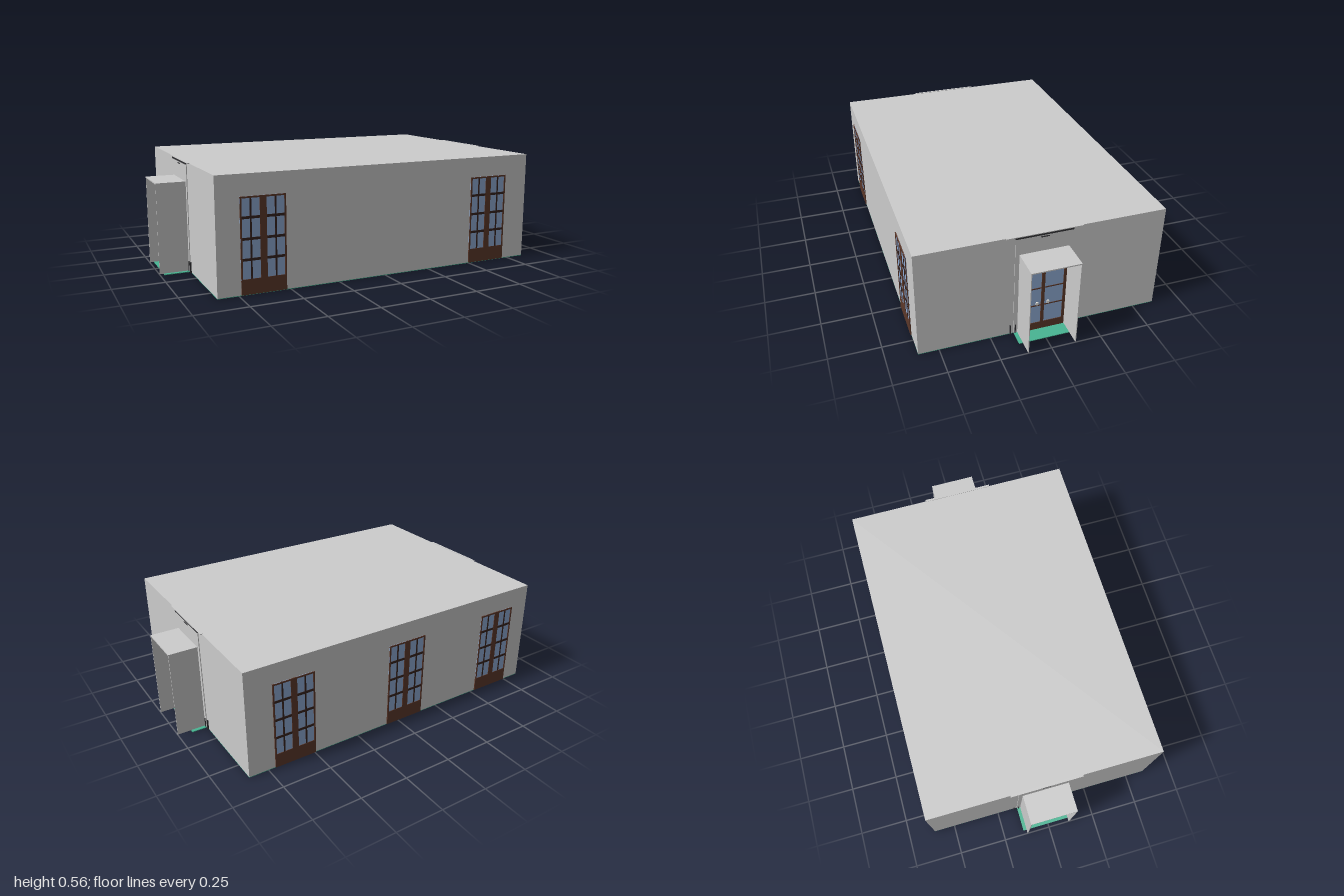
import * as THREE from 'three';

const mat = (name, color) => {
  const m = new THREE.MeshStandardMaterial({ color });
  m.name = name;
  return m;
};

export function createModel() {
  const wall = mat('wall grey', 0xcccccc);
  const wood = mat('brown wood', 0x5c382a);
  const bars = mat('dark bars', 0x35221e);
  const glass = mat('blue glass', 0x8fabd4);
  const green = mat('green floor', 0x48b593);
  const black = mat('dark metal', 0x333336);
  const white = mat('white handle', 0xe4e4e0);

  // Box given by its lower and upper corners
  const box = (parent, name, m, x0, x1, y0, y1, z0, z1) => {
    const mesh = new THREE.Mesh(new THREE.BoxGeometry(x1 - x0, y1 - y0, z1 - z0), m);
    mesh.position.set((x0 + x1) / 2, (y0 + y1) / 2, (z0 + z1) / 2);
    mesh.name = name;
    parent.add(mesh);
    return mesh;
  };

  const model = new THREE.Group();
  model.name = 'hall';

  // Main block on its floor slab
  box(model, 'walls and roof', wall, -0.85, 0.85, 0.003, 0.553, -0.61, 0.6);
  box(model, 'floor', green, -0.85, 0.85, 0, 0.003, -0.61, 0.6);

  // Tall double window, centred on x and facing +z
  const makeWindow = () => {
    const g = new THREE.Group();
    g.name = 'window';
    const w = 0.109, top = 0.452;
    box(g, 'glass', glass, -w, w, 0.07, top, 0, 0.002);
    box(g, 'bottom panel', wood, -w, w, 0.003, 0.075, 0, 0.005);
    box(g, 'top rail', wood, -w, w, top - 0.008, top, 0, 0.005);
    box(g, 'centre stile', wood, -0.016, 0.016, 0.075, top, 0, 0.005);
    for (const s of [-1, 1]) {
      box(g, 'side stile', wood, s * (w - 0.004) - 0.004, s * (w - 0.004) + 0.004, 0.075, top, 0, 0.005);
      box(g, 'upright bar', bars, s * 0.059 - 0.004, s * 0.059 + 0.004, 0.075, top, 0, 0.004);
    }
    for (const y of [0.165, 0.26, 0.357])
      box(g, 'cross bar', bars, -w, w, y - 0.006, y + 0.006, 0, 0.0045);
    return g;
  };

  // Two windows in front, three at the back
  for (const x of [-0.63, 0.605]) {
    const g = makeWindow();
    g.position.set(x, 0, 0.6);
    model.add(g);
  }
  for (const x of [-0.635, -0.037, 0.605]) {
    const g = makeWindow();
    g.position.set(x, 0, -0.61);
    g.rotation.y = Math.PI;
    model.add(g);
  }

  // Glazed double door, facing +z
  const makeDoor = () => {
    const g = new THREE.Group();
    g.name = 'double door';
    const w = 0.115, top = 0.45;
    box(g, 'glass', glass, -w, w, 0.04, top, 0, 0.003);
    box(g, 'bottom panel', wood, -w, w, 0.003, 0.045, 0, 0.006);
    box(g, 'top rail', wood, -w, w, top - 0.006, top, 0, 0.006);
    box(g, 'centre stile', wood, -0.008, 0.008, 0.045, top, 0, 0.007);
    for (const s of [-1, 1]) {
      box(g, 'side stile', wood, s * 0.108 - 0.007, s * 0.108 + 0.007, 0.045, top, 0, 0.006);
      box(g, 'handle', white, s * 0.027 - 0.006, s * 0.027 + 0.006, 0.152, 0.168, 0.003, 0.009);
    }
    for (const y of [0.147, 0.248, 0.348])
      box(g, 'cross bar', wood, -w, w, y - 0.003, y + 0.003, 0, 0.005);
    return g;
  };

  // Entrance with open-ended porch, local z = 0 on the end wall
  const makeEntrance = (floorDepth) => {
    const g = new THREE.Group();
    g.name = 'entrance';
    box(g, 'porch floor', green, -0.138, 0.138, 0, 0.004, 0, floorDepth);
    box(g, 'porch roof', wall, -0.12, 0.12, 0.45, 0.456, 0, 0.15);
    box(g, 'door surround', wall, -0.14, 0.14, 0.004, 0.54, 0, 0.004);
    box(g, 'lintel strip', black, -0.14, 0.14, 0.541, 0.55, 0, 0.006);
    box(g, 'lintel lamp', black, -0.02, 0.02, 0.531, 0.535, 0, 0.008);
    box(g, 'cornice', wall, -0.185, 0.185, 0.551, 0.555, -0.004, 0.008);
    for (const s of [-1, 1]) {
      box(g, 'porch side wall', wall, s * 0.118 - 0.002, s * 0.118 + 0.002, 0.003, 0.45, 0, 0.15);
      for (const x of [0.131, 0.156])
        box(g, 'low post', black, s * x - 0.002, s * x + 0.002, 0, 0.055, 0, 0.008);
    }
    const door = makeDoor();
    door.position.z = 0.006;
    g.add(door);
    return g;
  };

  // One entrance at each end
  for (const [s, depth] of [[1, 0.08], [-1, 0.13]]) {
    const g = makeEntrance(depth);
    g.position.set(s * 0.85, 0, -0.003);
    g.rotation.y = s * Math.PI / 2;
    model.add(g);
  }
  return model;
}
